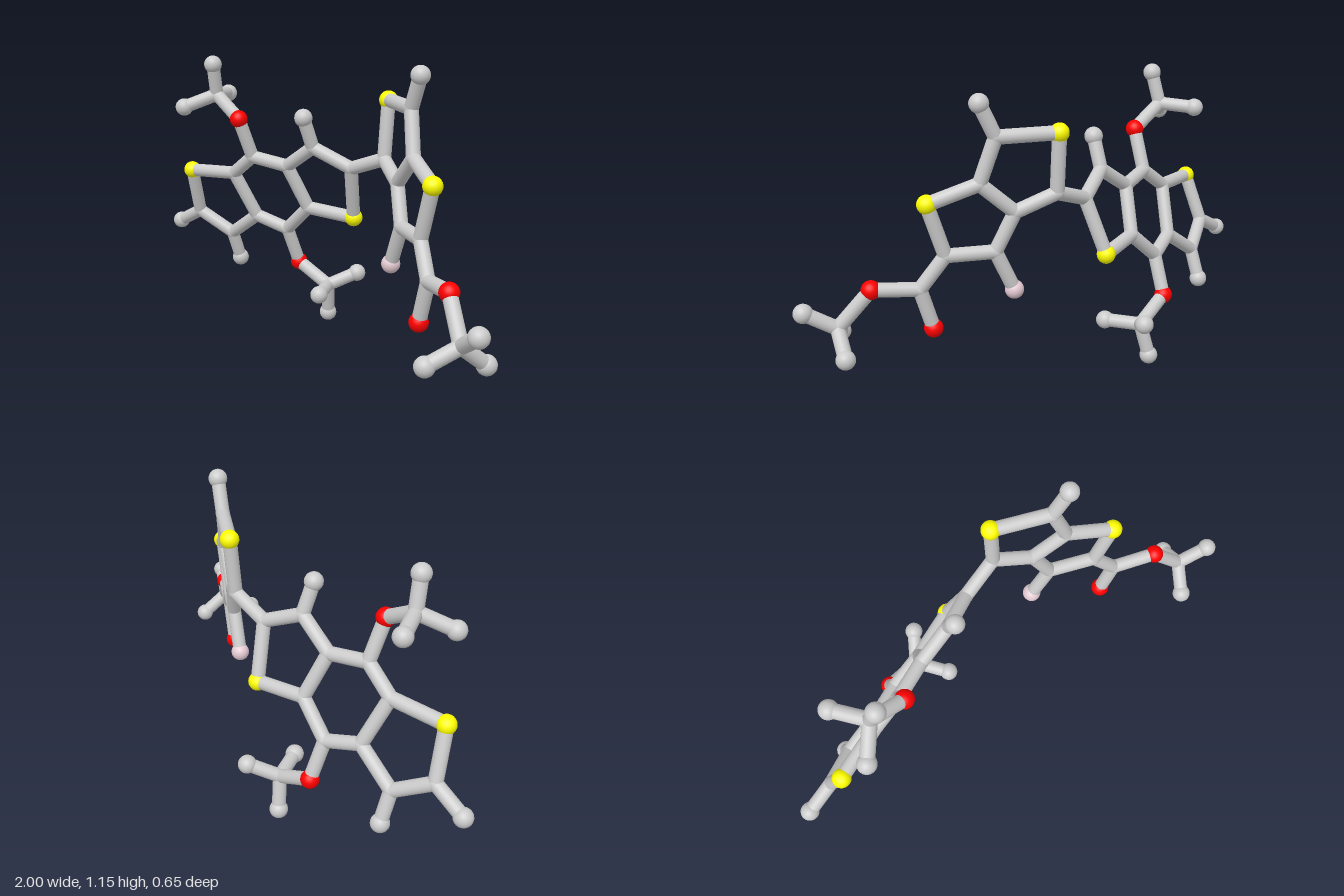
import * as THREE from 'three';

const BALL = 0.036, JOINT = 0.028, ROD = 0.027;

// The two fused ring systems are flat: depth follows from x and y
const leftPlane = (x, y) => -0.403 - 0.374 * x + 0.379 * y;
const rightPlane = (x, y) => -0.136 + 0.407 * x - 0.081 * y;

const material = (color) => new THREE.MeshStandardMaterial({ color });
const kinds = {
  joint: { r: JOINT, mat: material(0xcccccc), label: 'carbonJoint' },
  tip: { r: BALL, mat: material(0xcccccc), label: 'hydrogenBall' },
  sulfur: { r: BALL, mat: material(0xffff00), label: 'sulfurBall' },
  oxygen: { r: BALL, mat: material(0xff0000), label: 'oxygenBall' },
  fluorine: { r: BALL, mat: material(0xe6ccd4), label: 'fluorineBall' },
};

export function createModel() {
  const model = new THREE.Group();
  model.name = 'moleculeModel';
  const rodMat = kinds.joint.mat;
  const UP = new THREE.Vector3(0, 1, 0);

  function section(name) {
    const group = new THREE.Group();
    group.name = name;
    model.add(group);
    return group;
  }

  // One ball; returns its position so rods can refer to it
  function atom(group, kind, x, y, z) {
    const k = kinds[kind];
    const mesh = new THREE.Mesh(new THREE.SphereGeometry(k.r, 24, 16), k.mat);
    mesh.name = k.label;
    mesh.position.set(x, y, z);
    group.add(mesh);
    return mesh.position;
  }

  // Straight rod between two atoms
  function bond(group, a, b) {
    const d = b.clone().sub(a);
    const mesh = new THREE.Mesh(new THREE.CylinderGeometry(ROD, ROD, d.length(), 20), rodMat);
    mesh.name = 'bondRod';
    mesh.position.copy(a).addScaledVector(d, 0.5);
    mesh.quaternion.setFromUnitVectors(UP, d.normalize());
    group.add(mesh);
  }

  // Rods through a list of atoms, in order
  function chain(group, ...atoms) {
    for (let i = 1; i < atoms.length; i++) bond(group, atoms[i - 1], atoms[i]);
  }

  // Carbon with three tips, hung on a parent atom
  function methyl(group, parent, centre, tips) {
    const c = atom(group, 'joint', ...centre);
    bond(group, parent, c);
    tips.forEach((t) => bond(group, c, atom(group, 'tip', ...t)));
  }

  // Left system: a six-ring between two five-rings
  const left = section('leftRings');
  const L = (kind, x, y) => atom(left, kind, x, y, leftPlane(x, y));
  const s1 = L('sulfur', -0.8, 0.632);
  const c2 = L('joint', -0.84, 0.435);
  const c3 = L('joint', -0.71, 0.345);
  const c4 = L('joint', -0.55, 0.45);
  const c5 = L('joint', -0.59, 0.64);
  const c6 = L('joint', -0.47, 0.725);
  const c7 = L('joint', -0.32, 0.7);
  const c8 = L('joint', -0.285, 0.52);
  const c9 = L('joint', -0.42, 0.405);
  const c10 = L('joint', -0.175, 0.793);
  const c11 = L('joint', -0.035, 0.72);
  const s2 = L('sulfur', -0.09, 0.502);
  chain(left, c5, s1, c2, c3, c4, c5, c6, c7, c8, c9, c4);
  chain(left, c7, c10, c11, s2, c8);
  bond(left, c2, L('tip', -0.967, 0.37));
  bond(left, c3, L('tip', -0.717, 0.222));
  bond(left, c10, L('tip', -0.175, 0.915));

  // Side arms of the six-ring
  const o6 = L('oxygen', -0.473, 0.887);
  const o9 = L('oxygen', -0.418, 0.25);
  bond(left, c6, o6);
  bond(left, c9, o9);
  methyl(section('upperArm'), o6, [-0.615, 0.975, 0.12],
    [[-0.595, 1.102, 0.148], [-0.708, 0.922, 0.222], [-0.703, 0.965, 0.003]]);
  methyl(section('lowerArm'), o9, [-0.265, 0.172, -0.188],
    [[-0.293, 0.039, -0.211], [-0.195, 0.223, -0.29], [-0.18, 0.173, -0.07]]);

  // Right system: two fused five-rings
  const right = section('rightRings');
  const R = (kind, x, y) => atom(right, kind, x, y, rightPlane(x, y));
  const c12 = R('joint', 0.12, 0.775);
  const s3 = R('sulfur', 0.122, 1.0);
  const c13 = R('joint', 0.335, 0.997);
  const c14 = R('joint', 0.385, 0.828);
  const c15 = R('joint', 0.262, 0.713);
  const s4 = R('sulfur', 0.558, 0.766);
  const c17 = R('joint', 0.495, 0.565);
  const c18 = R('joint', 0.325, 0.565);
  chain(right, c11, c12, s3, c13, c14, c15, c12);
  chain(right, c14, s4, c17, c18, c15);
  bond(right, c13, R('tip', 0.392, 1.12));
  bond(right, c18, R('fluorine', 0.255, 0.407));

  // Tail with two oxygens
  const c19 = R('joint', 0.58, 0.442);
  const oEnd = R('oxygen', 0.533, 0.281);
  const oLink = R('oxygen', 0.742, 0.457);
  chain(right, c17, c19, oEnd);
  bond(right, c19, oLink);
  methyl(section('tail'), oLink, [0.853, 0.318, 0.186],
    [[0.962, 0.389, 0.226], [0.794, 0.258, 0.288], [0.875, 0.237, 0.086]]);

  return model;
}
